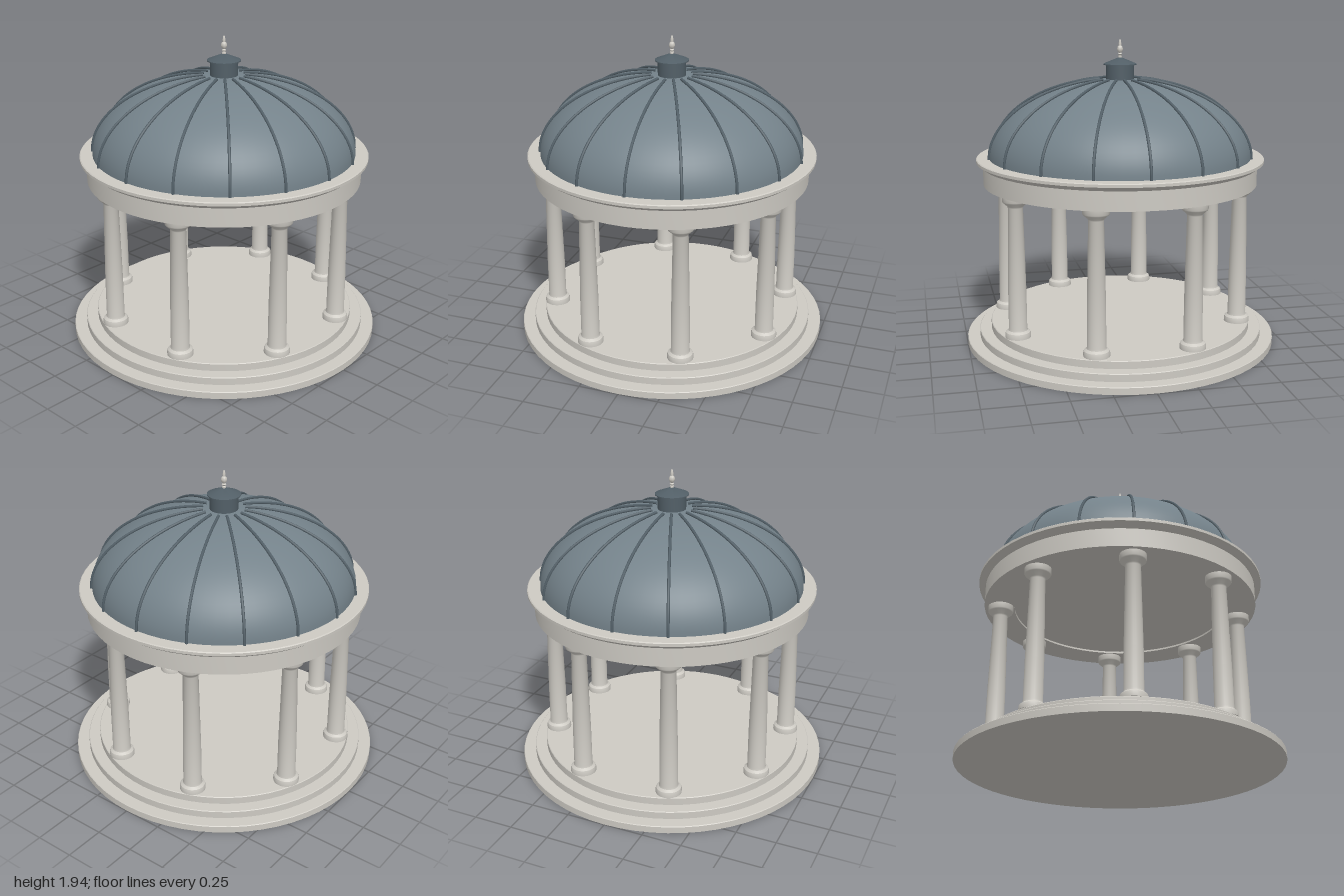
import * as THREE from 'three';
import { toCreasedNormals } from 'three/addons/utils/BufferGeometryUtils.js';

const material = (name, color) => {
  const m = new THREE.MeshStandardMaterial({ color });
  m.name = name;
  return m;
};

// Turned part from [radius, height] pairs listed from the bottom up
function lathe(points, segments = 64) {
  const profile = points.map(([r, y]) => new THREE.Vector2(r, y));
  return toCreasedNormals(new THREE.LatheGeometry(profile, segments), 0.6);
}

export function createModel() {
  const model = new THREE.Group();
  model.name = 'rotunda';
  const stone = material('pale stone', 0xcdcac3);
  const slate = material('slate roof', 0x74828a);
  const lead = material('dark lead', 0x525f67);
  const add = (name, geometry, mat) => {
    const mesh = new THREE.Mesh(geometry, mat);
    mesh.name = name;
    model.add(mesh);
    return mesh;
  };

  // Three round steps, with a slightly eased top edge
  const steps = [[1, 0, 0.045], [0.92, 0.045, 0.093], [0.845, 0.093, 0.142]];
  steps.forEach(([r, y0, y1], i) => {
    add('step' + (i + 1), lathe([
      [0, y0], [r, y0], [r, y1 - 0.004], [r - 0.004, y1], [0, y1],
    ]), stone);
  });

  // Eight tapered columns with moulded base and flared capital
  const columnGeometry = lathe([
    [0, 0.142], [0.08, 0.142], [0.08, 0.162], [0.076, 0.176], [0.06, 0.188],
    [0.057, 0.2], [0.056, 0.45], [0.046, 0.962], [0.05, 0.972],
    [0.076, 0.995], [0.08, 1.003], [0.08, 1.04], [0, 1.04],
  ], 24);
  for (let i = 0; i < 8; i++) {
    const angle = (i + 0.5) * Math.PI / 4;
    const column = add('column' + (i + 1), columnGeometry, stone);
    column.position.set(0.767 * Math.cos(angle), 0, 0.767 * Math.sin(angle));
  }

  // Ring beam with cornice, and the ceiling inside it
  add('entablature', lathe([
    [0.68, 1.06], [0.68, 1.038], [0.872, 1.038], [0.872, 1.155], [0.88, 1.158],
    [0.905, 1.18], [0.914, 1.183], [0.914, 1.2], [0.908, 1.205], [0.8, 1.205],
  ]), stone);
  const ceiling = add('ceiling', new THREE.CircleGeometry(0.685, 64), stone);
  ceiling.rotation.x = Math.PI / 2;
  ceiling.position.y = 1.05;

  // Elliptical dome
  const domePoints = [];
  for (let i = 0; i <= 24; i++) {
    const t = i / 24 * Math.PI / 2;
    domePoints.push([Math.max(0, 0.832 * Math.cos(t)), 1.2 + 0.495 * Math.sin(t)]);
  }
  add('dome', lathe(domePoints), slate);

  // Sixteen raised ribs, stopping short of the lantern
  const ribPoints = [];
  const ribEnd = Math.acos(0.13 / 0.836);
  for (let i = 0; i <= 12; i++) {
    const t = i / 12 * ribEnd;
    ribPoints.push(new THREE.Vector3(0.836 * Math.cos(t), 1.2 + 0.501 * Math.sin(t), 0));
  }
  const ribGeometry = new THREE.TubeGeometry(new THREE.CatmullRomCurve3(ribPoints), 32, 0.009, 8);
  for (let i = 0; i < 16; i++) {
    add('rib' + (i + 1), ribGeometry, lead).rotation.y = i * Math.PI / 8;
  }

  // Lantern drum and its conical cap
  add('lanternDrum', lathe([[0, 1.67], [0.088, 1.67], [0.088, 1.785], [0, 1.785]], 32), lead);
  add('lanternCap', lathe([
    [0, 1.782], [0.105, 1.782], [0.105, 1.788], [0.012, 1.826], [0, 1.826],
  ], 32), lead);

  // Finial
  add('finial', lathe([
    [0, 1.82], [0.012, 1.82], [0.012, 1.835], [0.008, 1.84], [0.014, 1.848],
    [0.008, 1.856], [0.017, 1.868], [0.019, 1.88], [0.016, 1.892], [0.008, 1.9],
    [0.009, 1.915], [0.005, 1.935], [0, 1.942],
  ], 16), stone);

  return model;
}
